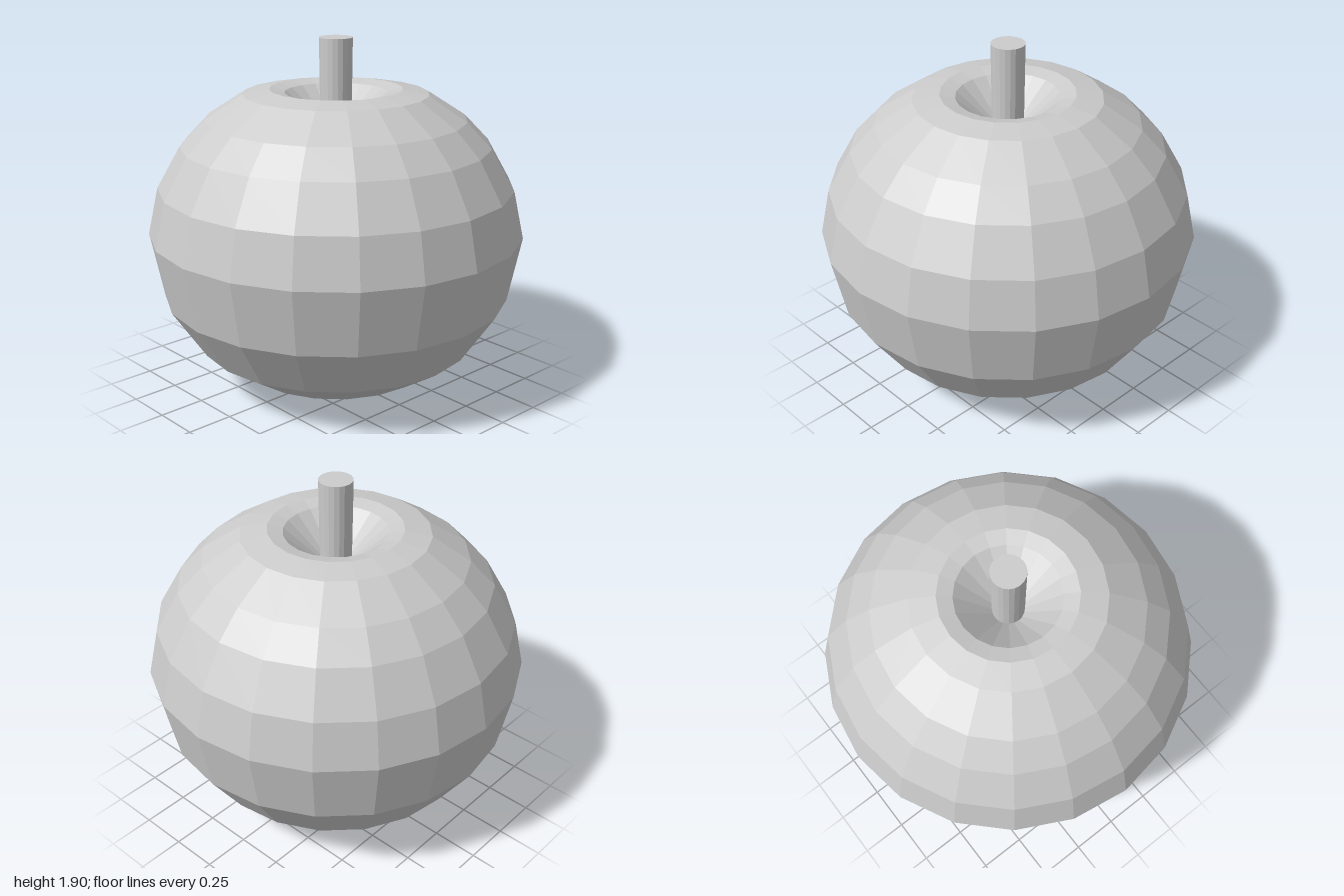
import * as THREE from 'three';

const SIDES = 20;

export function createModel() {
  const group = new THREE.Group();
  const material = new THREE.MeshStandardMaterial({ color: 0xcccccc, flatShading: true });

  // Faceted fruit body: flat base, round belly, sunken hollow around the stem
  const profile = [
    [0, 0], [0.18, 0], [0.53, 0.11], [0.75, 0.255], [0.93, 0.525], [1, 0.875],
    [0.945, 1.125], [0.82, 1.345], [0.69, 1.48], [0.49, 1.61], [0.35, 1.635],
    [0.27, 1.615], [0, 1.38],
  ].map(([r, y]) => new THREE.Vector2(r, y));
  const body = new THREE.Mesh(new THREE.LatheGeometry(profile, SIDES), material);
  body.name = 'fruitBody';
  group.add(body);

  // Stem rising from the hollow, slightly wider at the top
  const bottom = 1.38, top = 1.9;
  const stem = new THREE.Mesh(
    new THREE.CylinderGeometry(0.088, 0.082, top - bottom, SIDES), material);
  stem.position.y = (bottom + top) / 2;
  stem.name = 'stem';
  group.add(stem);

  return group;
}
